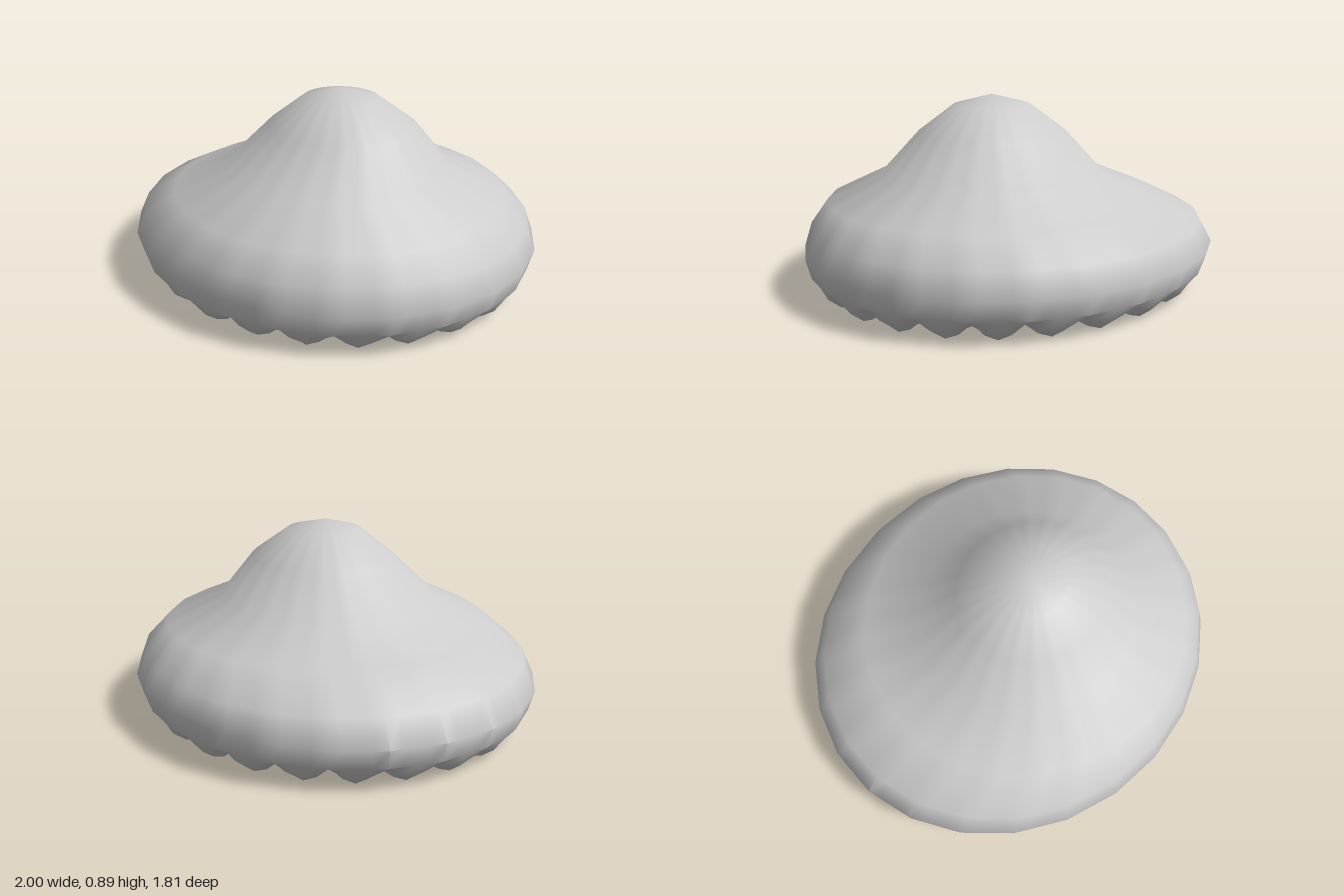
import * as THREE from 'three';
import { toCreasedNormals } from 'three/addons/utils/BufferGeometryUtils.js';

const SIDES = 24;          // facets, scallops and gills around the cap
const SUB = 4;             // subdivisions of each facet
const PHASE = 0.11;
const STEM = { x: 0.055, z: 0.05, r: 0.2 };

// Point on a 24-sided unit polygon; angle runs from +z towards +x
function polygonPoint(step) {
  const k = Math.floor(step / SUB), t = (step % SUB) / SUB;
  const a = PHASE + k * Math.PI * 2 / SIDES, b = a + Math.PI * 2 / SIDES;
  return [
    Math.sin(a) * (1 - t) + Math.sin(b) * t,
    Math.cos(a) * (1 - t) + Math.cos(b) * t,
  ];
}

// Rings from the peak, over the rim and under to the gills:
// [centre x, centre z, radius x, radius z, y, notch lift, notch inset]
const CAP_RINGS = [
  [0.10, 0.03, 0, 0, 0.89, 0, 0],
  [0.105, 0.025, 0.18, 0.17, 0.845, 0, 0],
  [0.11, 0.02, 0.355, 0.33, 0.72, 0, 0],
  [0.095, 0.035, 0.515, 0.505, 0.535, 0, 0],
  [0.085, 0.025, 0.785, 0.755, 0.42, 0, 0],
  [0.015, 0.005, 0.95, 0.87, 0.31, 0, 0],
  [0, 0, 1.005, 0.91, 0.2, 0, 0],
  [0, 0, 0.98, 0.885, 0.11, 0, 0],
  [0, 0, 0.945, 0.85, 0.045, 0.04, 0.02],
  [0, 0, 0.885, 0.79, 0, 0.06, 0.03],
  [0, 0, 0.83, 0.745, 0.015, 0.03, 0],
  [0, 0, 0.75, 0.68, 0.1, 0, 0],
  [0, 0, 0.75, 0.68, 0.18, 0, 0],
];

function capGeometry() {
  const n = SIDES * SUB, positions = [], index = [];
  for (const [cx, cz, rx, rz, y, lift, inset] of CAP_RINGS) {
    for (let j = 0; j < n; j++) {
      const [px, pz] = polygonPoint(j);
      const notch = 1 - Math.sin(Math.PI * (j % SUB) / SUB);
      positions.push(
        cx + px * (rx - inset * notch), y + lift * notch, cz + pz * (rz - inset * notch));
    }
  }
  for (let i = 0; i < CAP_RINGS.length - 1; i++) {
    for (let j = 0; j < n; j++) {
      const a = i * n + j, b = i * n + (j + 1) % n, c = a + n, d = b + n;
      if (i > 0) index.push(a, c, b);
      index.push(b, c, d);
    }
  }
  const geo = new THREE.BufferGeometry();
  geo.setAttribute('position', new THREE.Float32BufferAttribute(positions, 3));
  geo.setIndex(index);
  return toCreasedNormals(geo, 0.85);
}

// Saw-toothed fan of gills around the stem socket
function gillGeometry() {
  const positions = [];
  const quad = (a, b, c, d) => positions.push(...a, ...b, ...c, ...a, ...c, ...d);
  const outer = (k, y) => {
    const [x, z] = polygonPoint(k * SUB);
    return [x * 0.75, y, z * 0.68];
  };
  const inner = (k, y) => {
    const [x, z] = polygonPoint(k * SUB);
    return [STEM.x + x * STEM.r, y, STEM.z + z * STEM.r];
  };
  for (let k = 0; k < SIDES; k++) {
    const outLow = outer(k, 0.11), outHigh = outer(k + 1, 0.18);
    const inLow = inner(k, 0.145), inHigh = inner(k + 1, 0.195);
    // sloping face, upright face, and the toothed end at the socket
    quad(outLow, inLow, inHigh, outHigh);
    quad(outHigh, inHigh, inner(k + 1, 0.145), outer(k + 1, 0.11));
    quad(inLow, inner(k, 0.205), inner(k + 1, 0.205), inHigh);
  }
  const geo = new THREE.BufferGeometry();
  geo.setAttribute('position', new THREE.Float32BufferAttribute(positions, 3));
  geo.computeVertexNormals();
  return geo;
}

export function createModel() {
  const group = new THREE.Group();
  group.name = 'mushroomCap';
  const smooth = new THREE.MeshStandardMaterial({ color: 0xcccccc });
  const thin = new THREE.MeshStandardMaterial({
    color: 0xcccccc, side: THREE.DoubleSide, flatShading: true });

  const add = (name, geometry, material) => {
    const mesh = new THREE.Mesh(geometry, material);
    mesh.name = name;
    group.add(mesh);
    return mesh;
  };

  // Domed cap with scalloped, rolled-under rim
  add('cap', capGeometry(), smooth);
  add('gills', gillGeometry(), thin);

  // Flat disc closing the stem socket, facing down
  const socket = add('stemSocket', new THREE.CircleGeometry(STEM.r, SIDES), thin);
  socket.rotation.x = Math.PI / 2;
  socket.position.set(STEM.x, 0.2, STEM.z);
  return group;
}
